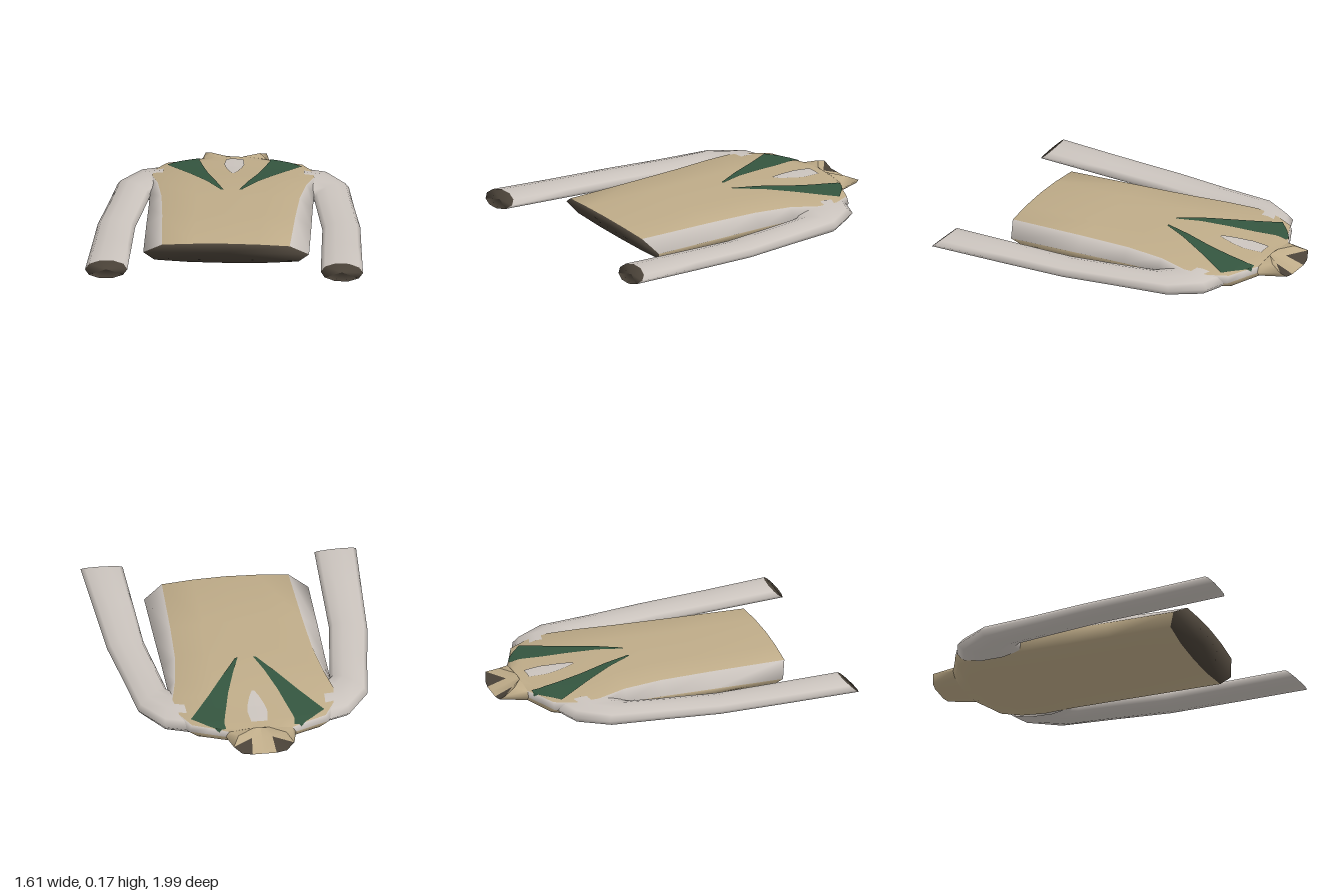
import * as THREE from 'three';

const mat = (name, color) => {
  const m = new THREE.MeshStandardMaterial({ color, side: THREE.DoubleSide });
  m.name = name;
  return m;
};

// Torso stations: z, half width, seam x, top y, bottom y, slant of the opening
const STATIONS = [
  [0.62, 0.48, 0.37, 0.175, 0.012, 0.055],
  [0.2, 0.478, 0.385, 0.174, 0.008, 0],
  [-0.1, 0.475, 0.4, 0.172, 0.005, 0],
  [-0.33, 0.475, 0.43, 0.165, 0.003, 0],
  [-0.5, 0.49, 0.47, 0.145, 0.002, 0],
  [-0.64, 0.47, 0.45, 0.13, 0.004, 0],
  [-0.75, 0.41, 0.39, 0.123, 0.01, 0],
  [-0.79, 0.315, 0.29, 0.12, 0.015, 0],
  [-0.84, 0.205, 0.185, 0.117, 0.022, 0],
];
const SEAM_DROP = 0.015, HALF_DROP = 0.004;

// Closed cross-section: over the front from -x to +x, then back underneath
function torsoRing([z, hw, seam, yT, yB, slant]) {
  const mid = (yT + yB) / 2, h = (yT - yB) / 2;
  const half = [[0, yT], [seam / 2, yT - HALF_DROP], [seam, yT - SEAM_DROP], [hw, mid],
    [hw * 0.87, yB + 0.02], [hw * 0.45, yB + 0.004], [0, yB]];
  return mirrorRing(half.map(([x, y]) => [x, y, z + slant * (y - mid) / h]));
}

// Half a ring (top centre to bottom centre) becomes a whole one starting at top centre
function mirrorRing(half) {
  const other = half.slice(1, -1).reverse().map(([x, y, z]) => [-x, y, z]);
  return [...half, ...other];
}

// Height of the torso front at (x, z)
function frontHeight(x, z) {
  let i = 0;
  while (i < STATIONS.length - 2 && z < STATIONS[i + 1][0]) i++;
  const a = STATIONS[i], b = STATIONS[i + 1];
  const t = (z - a[0]) / (b[0] - a[0]);
  const [, hw, seam, yT, yB] = a.map((v, k) => v + (b[k] - v) * t);
  const u = Math.abs(x) / seam;
  if (u < 0.5) return yT - HALF_DROP * u * 2;
  if (u < 1) return yT - HALF_DROP - (SEAM_DROP - HALF_DROP) * (u - 0.5) * 2;
  const k = Math.min(1, (Math.abs(x) - seam) / (hw - seam));
  return yT - SEAM_DROP + ((yT + yB) / 2 - yT + SEAM_DROP) * k;
}

// Skin through rings; slotOf picks the material per column, capSlot closes the first ring
function loft(name, rings, materials, slotOf, capSlot = -1) {
  const n = rings[0].length, pos = rings.flat(2), lists = materials.map(() => []);
  for (let r = 0; r < rings.length - 1; r++) {
    for (let c = 0; c < n; c++) {
      const a = r * n + c, b = r * n + (c + 1) % n;
      lists[slotOf(c)].push(a, b, a + n, b, b + n, a + n);
    }
  }
  if (capSlot >= 0) {
    const k = pos.length / 3;
    for (let d = 0; d < 3; d++) pos.push(rings[0].reduce((s, p) => s + p[d], 0) / n);
    for (let c = 0; c < n; c++) lists[capSlot].push(k, (c + 1) % n, c);
  }
  return meshFrom(name, pos, lists, materials);
}

function meshFrom(name, pos, lists, materials) {
  const g = new THREE.BufferGeometry();
  g.setAttribute('position', new THREE.Float32BufferAttribute(pos, 3));
  g.setIndex(lists.flat());
  let start = 0;
  lists.forEach((l, i) => {
    if (l.length) g.addGroup(start, l.length, i);
    start += l.length;
  });
  g.computeVertexNormals();
  const mesh = new THREE.Mesh(g, materials);
  mesh.name = name;
  return mesh;
}

// Thin panel draped on the torso front; rows are [z, x from, x to], going to -z
function drape(name, rows, material, s = 1) {
  const pos = [], idx = [], U = 10, V = 8;
  let count = 0;
  for (let i = 0; i < rows.length - 1; i++) {
    for (let v = i ? 1 : 0; v <= V; v++) {
      const [z, x0, x1] = rows[i].map((q, k) => q + (rows[i + 1][k] - q) * v / V);
      for (let u = 0; u <= U; u++) {
        const x = s * (s > 0 ? x0 + (x1 - x0) * u / U : x1 + (x0 - x1) * u / U);
        pos.push(x, frontHeight(x, z) + 0.005, z);
      }
      count++;
    }
  }
  for (let r = 0; r < count - 1; r++) {
    for (let u = 0; u < U; u++) {
      const a = r * (U + 1) + u, d = a + U + 1;
      idx.push(a, a + 1, d, a + 1, d + 1, d);
    }
  }
  return meshFrom(name, pos, [idx], [material]);
}

// Sleeve stations from cuff to armhole: inner x, z, outer x, z, centre y, half height, slant
const SLEEVE = [
  [0.56, 0.945, 0.805, 0.955, 0.115, 0.04, 0.045],
  [0.55, 0.55, 0.782, 0.55, 0.096, 0.042, 0],
  [0.542, 0.2, 0.76, 0.15, 0.08, 0.043, 0],
  [0.505, -0.08, 0.712, -0.18, 0.074, 0.046, 0],
  [0.475, -0.31, 0.67, -0.5, 0.07, 0.052, 0],
  [0.46, -0.33, 0.54, -0.69, 0.068, 0.059, 0],
  [0.42, -0.31, 0.4, -0.74, 0.067, 0.063, 0],
];

function sleeve(name, s, materials) {
  const N = 10;
  const rings = SLEEVE.map(([px, pz, qx, qz, y, h, slant]) => {
    const ring = Array.from({ length: N }, (_, i) => {
      const t = i / N * Math.PI * 2, c = Math.cos(t), w = Math.sin(t);
      return [s * ((px + qx) / 2 + (px - qx) / 2 * c), y + h * w,
        (pz + qz) / 2 + (pz - qz) / 2 * c - slant * w];
    });
    return s > 0 ? ring : ring.reverse();
  });
  return loft(name, rings, materials, () => 0, 1);
}

export function createModel() {
  const tan = mat('tan cloth', 0xbeab88);
  const grey = mat('pale grey cloth', 0xcac3bd);
  const green = mat('dark green trim', 0x34553f);
  const dark = mat('dark lining', 0x4a4238);
  const group = new THREE.Group();
  group.name = 'jacket';

  // Body with grey side panels and a dark hem opening
  const body = STATIONS.map(torsoRing);
  group.add(loft('body', body, [tan, grey, dark], (c) => (c === 2 || c === 9 ? 1 : 0), 2));

  // Standing collar, notched at the front
  const rim = [[0, 0.108, -0.8], [0.05, 0.117, -0.845], [0.14, 0.114, -0.905],
    [0.177, 0.085, -0.975], [0.13, 0.046, -0.992], [0.07, 0.04, -1], [0, 0.04, -1]];
  group.add(loft('collar', [body[body.length - 1], mirrorRing(rim)], [tan], () => 0));

  // Collar lining, darker in the two side folds
  const fold = [0.06, 0.082, -0.89], middle = [0, 0.08, -0.89];
  for (const s of [1, -1]) {
    const pts = [...rim, middle, fold].map(([x, y, z]) => [s * x, y, z]);
    const tri = (list) => list.flatMap(([a, b, c]) => (s > 0 ? [a, b, c] : [a, c, b]));
    const light = tri([[8, 1, 0], [8, 2, 1], [8, 3, 2], [8, 0, 7], [8, 7, 6], [8, 6, 5]]);
    const deep = tri([[8, 4, 3], [8, 5, 4]]);
    // Wind towards the front of the garment
    const flip = (l) => l.map((_, i) => l[i % 3 === 0 ? i : i % 3 === 1 ? i + 1 : i - 1]);
    group.add(meshFrom(s > 0 ? 'leftCollarLining' : 'rightCollarLining',
      pts.flat(), [flip(light), flip(deep)], [tan, dark]));
  }

  // Sleeves, lapels
  const lapel = [[-0.18, 0.045, 0.06], [-0.3, 0.085, 0.13], [-0.5, 0.145, 0.255],
    [-0.7, 0.19, 0.39], [-0.77, 0.205, 0.31], [-0.82, 0.2, 0.24]];
  for (const [side, s] of [['left', 1], ['right', -1]]) {
    group.add(sleeve(side + 'Sleeve', s, [grey, dark]));
    group.add(drape(side + 'Lapel', lapel, green, s));
  }

  // Shirt showing at the neck
  group.add(drape('shirtFront', [[-0.5, -0.008, 0.008], [-0.55, -0.028, 0.028],
    [-0.61, -0.045, 0.045], [-0.68, -0.058, 0.058], [-0.74, -0.053, 0.053],
    [-0.785, -0.047, 0.047]], grey));

  return group;
}
